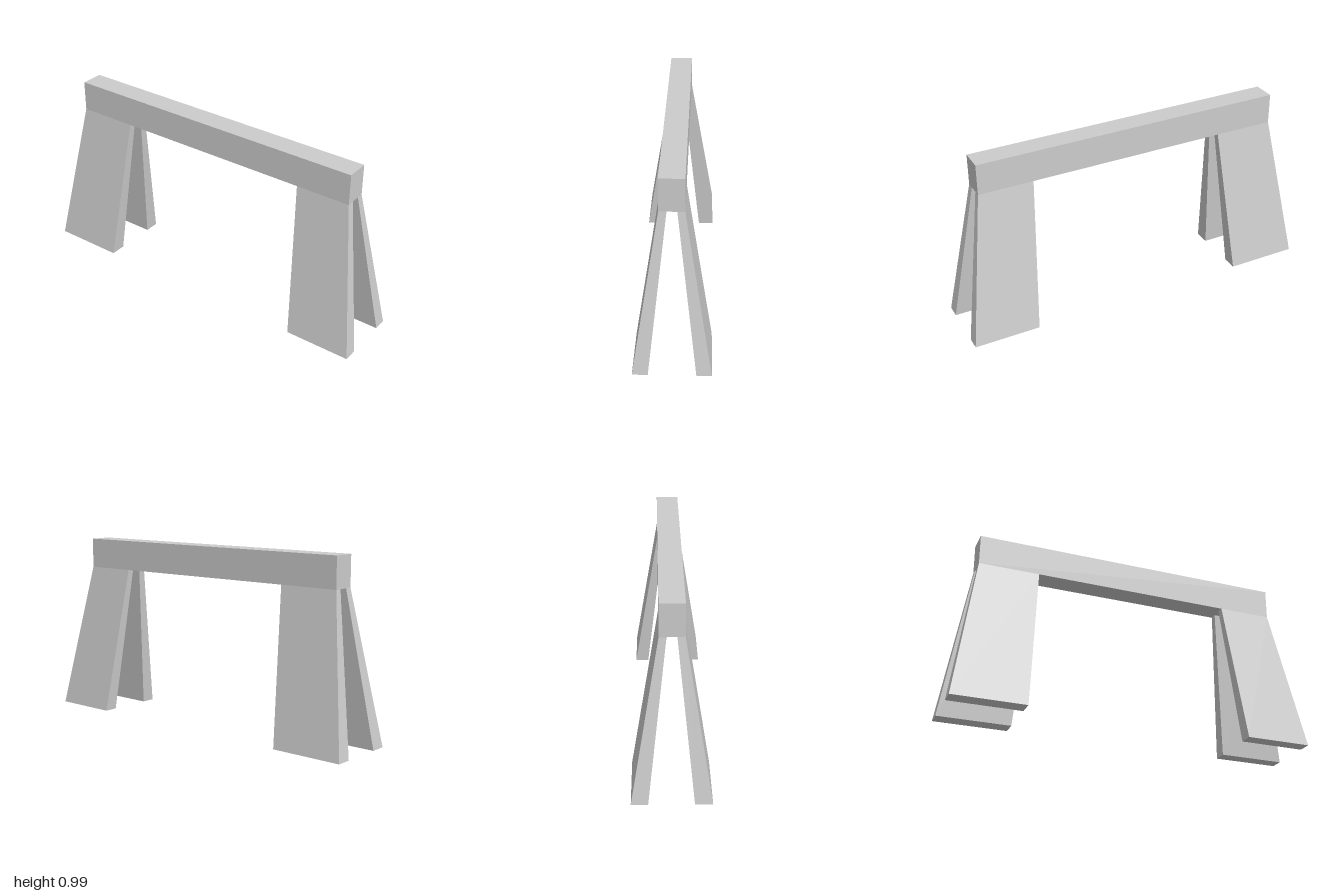
import * as THREE from 'three';

const material = new THREE.MeshStandardMaterial({ color: 0xcccccc, flatShading: true });

const BEAM_BOTTOM = 0.825, BEAM_TOP = 0.993, BEAM_END = 0.87;
const BEAM_LEFT = 0.061, BEAM_RIGHT = -0.065;

// A box whose top and bottom are separate rectangles: [x0, x1, z0, z1]
function taperedBox(name, y0, y1, bottom, top) {
  const geometry = new THREE.BoxGeometry(1, 1, 1);
  const p = geometry.attributes.position;
  for (let i = 0; i < p.count; i++) {
    const up = p.getY(i) > 0;
    const r = up ? top : bottom;
    p.setXYZ(i, p.getX(i) > 0 ? r[1] : r[0], up ? y1 : y0, p.getZ(i) > 0 ? r[3] : r[2]);
  }
  geometry.computeVertexNormals();
  const mesh = new THREE.Mesh(geometry, material);
  mesh.name = name;
  return mesh;
}

export function createModel() {
  const model = new THREE.Group();
  model.name = 'trestle';

  // Long top beam
  const beamPlan = [BEAM_RIGHT, BEAM_LEFT, -BEAM_END, BEAM_END];
  model.add(taperedBox('beam', BEAM_BOTTOM, BEAM_TOP, beamPlan, beamPlan));

  // Splayed plank legs, a pair at each end; the back pair is slightly thicker and wider
  const ends = [
    { name: 'front', topZ: [0.57, BEAM_END], footZ: [0.635, 1], footLeft: [0.12, 0.195], footRight: [-0.194, -0.116] },
    { name: 'back', topZ: [-BEAM_END, -0.535], footZ: [-1, -0.6], footLeft: [0.115, 0.199], footRight: [-0.199, -0.111] },
  ];
  for (const e of ends) {
    model.add(taperedBox(e.name + 'LeftLeg', 0, BEAM_BOTTOM,
      [...e.footLeft, ...e.footZ], [0.024, BEAM_LEFT, ...e.topZ]));
    model.add(taperedBox(e.name + 'RightLeg', 0, BEAM_BOTTOM,
      [...e.footRight, ...e.footZ], [BEAM_RIGHT, -0.026, ...e.topZ]));
  }
  return model;
}
